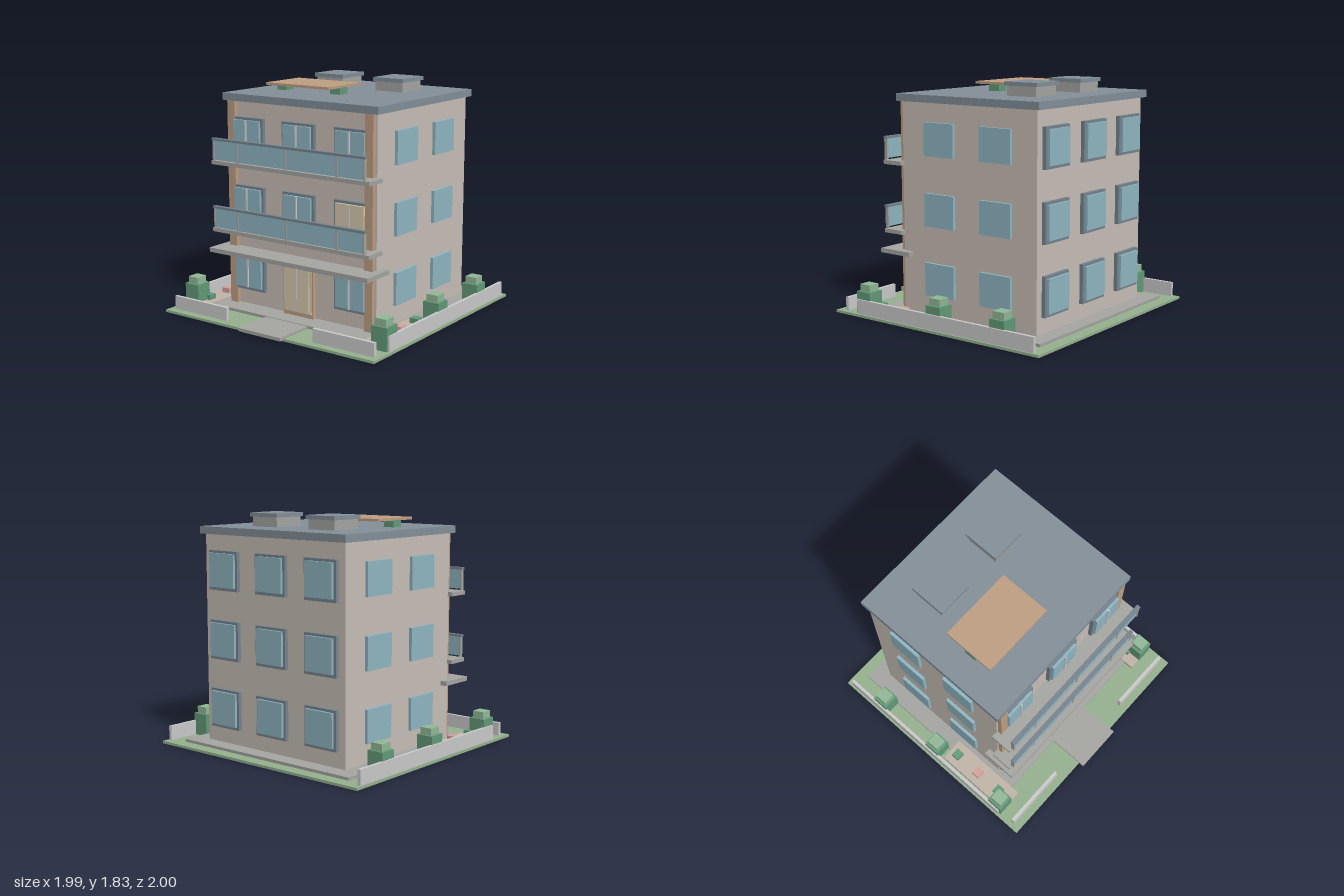
import * as THREE from 'three';

const material = (color) => new THREE.MeshStandardMaterial({ color });

export function createModel() {
  const building = new THREE.Group();
  building.name = 'apartmentBuilding';

  const mat = {
    wall: material(0xc9bfb8), roof: material(0x84909a), frame: material(0x77858f),
    glass: material(0x90b7c3), lit: material(0xd9cbb0), wood: material(0xbf9f83),
    concrete: material(0xa6a6a3), lawn: material(0x95b18f), lowWall: material(0xd8dad6),
    bed: material(0xc2b5a8), shrub: material(0x649b79), leaf: material(0x92b998),
    flower: material(0xd6a39c),
  };

  // Box given by its extents along x, y and z
  function block(name, m, [x0, x1], [y0, y1], [z0, z1], parent = building) {
    const mesh = new THREE.Mesh(new THREE.BoxGeometry(x1 - x0, y1 - y0, z1 - z0), m);
    mesh.position.set((x0 + x1) / 2, (y0 + y1) / 2, (z0 + z1) / 2);
    mesh.name = name;
    parent.add(mesh);
    return mesh;
  }
  const around = (c, size) => [c - size / 2, c + size / 2];
  const group = (name) => {
    const g = new THREE.Group();
    g.name = name;
    building.add(g);
    return g;
  };

  // Ground
  block('lawn', mat.lawn, [-0.995, 0.995], [0, 0.02], [-1, 0.955]);
  block('plinth', mat.concrete, [-0.84, 0.84], [0.015, 0.042], [-0.9, 0.67]);
  block('path', mat.concrete, [-0.2, 0.2], [0.012, 0.038], [0.66, 1]);

  // Main volume and roof
  block('walls', mat.wall, [-0.7, 0.7], [0.04, 1.67], [-0.77, 0.49]);
  block('roofSlab', mat.roof, [-0.73, 0.73], [1.668, 1.725], [-0.805, 0.528]);

  // Framed window on the front (dir 1) or back (dir -1)
  function framedWindow(x, y, dir, pane) {
    const g = group('window');
    const face = dir > 0 ? 0.49 : -0.77;
    const depth = (a, b) => [face + dir * a, face + dir * b].sort((p, q) => p - q);
    block('windowFrame', mat.frame, around(x, 0.3), around(y, 0.305), depth(-0.01, 0.03), g);
    block('windowPane', pane, around(x, 0.257), around(y + 0.003, 0.26), depth(0.02, 0.05), g);
    if (dir > 0) {
      block('mullion', mat.lowWall, around(x, 0.012), around(y + 0.003, 0.26), depth(0.03, 0.06), g);
    }
  }

  // Windows of the three floors
  [0.318, 0.855, 1.393].forEach((y, floor) => {
    for (const x of [-0.488, 0, 0.488]) {
      framedWindow(x, y, -1, mat.glass);
      if (floor === 0 && x === 0) continue;
      framedWindow(x, y, 1, floor === 1 && x > 0 ? mat.lit : mat.glass);
    }
    for (const side of [-1, 1]) {
      for (const z of [0.12, -0.408]) {
        block('sideWindow', mat.glass, around(side * 0.71, 0.03), around(y, 0.255), around(z, 0.282));
      }
    }
  });

  // Entrance door
  const door = group('door');
  block('doorFrame', mat.wood, [-0.143, 0.143], [0.04, 0.455], [0.48, 0.525], door);
  block('doorPanel', mat.lit, [-0.13, 0.13], [0.075, 0.44], [0.5, 0.535], door);
  block('doorPane', mat.lit, [-0.115, 0.115], [0.088, 0.425], [0.51, 0.545], door);
  block('doorMullion', mat.lowWall, [-0.005, 0.005], [0.088, 0.425], [0.52, 0.55], door);

  // Wooden pilasters
  for (const s of [-1, 1]) {
    block('pilaster', mat.wood, around(s * 0.65, 0.072), [0.04, 1.67], [0.48, 0.524]);
  }

  // Canopy over the ground floor and the two balconies
  block('canopy', mat.concrete, [-0.755, 0.755], [0.475, 0.51], [0.4, 0.69]);
  for (const y of [0.637, 1.175]) {
    const g = group('balcony');
    block('balconySlab', mat.concrete, [-0.745, 0.745], [y, y + 0.031], [0.48, 0.655], g);
    block('balconyGlass', mat.glass, [-0.71, 0.71], [y + 0.042, y + 0.196], [0.65, 0.668], g);
    block('handrail', mat.frame, [-0.72, 0.72], [y + 0.194, y + 0.212], [0.645, 0.678], g);
    for (const x of [-0.708, -0.47, 0, 0.47, 0.708]) {
      block('railPost', mat.concrete, around(x, 0.014), [y + 0.03, y + 0.2], [0.646, 0.674], g);
    }
  }

  // Roof terrace: wooden cover on two planters, and two vents
  block('roofCover', mat.wood, [-0.508, 0.098], [1.775, 1.795], [-0.155, 0.262]);
  for (const x of [-0.463, 0.058]) {
    block('roofPlanter', mat.shrub, around(x, 0.094), [1.72, 1.778], [0.025, 0.12]);
  }
  for (const x of [-0.288, 0.284]) {
    block('ventBase', mat.concrete, around(x, 0.252), [1.72, 1.802], [-0.55, -0.285]);
    block('ventCap', mat.roof, around(x, 0.282), [1.8, 1.83], [-0.567, -0.27]);
  }

  // Garden walls, beds and plants, mirrored left and right
  for (const s of [-1, 1]) {
    block('sideWall', mat.lowWall, around(s * 0.968, 0.025), [0.015, 0.135], [-0.945, 0.735]);
    block('frontWall', mat.lowWall, around(s * 0.683, 0.54), [0.015, 0.125], [0.863, 0.89]);
    block('gardenBed', mat.bed, around(s * 0.835, 0.19), [0.015, 0.055], [0.08, 0.75]);
    [0.155, 0.385, 0.615].forEach((z, i) => {
      block('bedPlant', i === 1 ? mat.flower : mat.shrub, around(s * 0.838, 0.072), [0.05, 0.095], around(z, 0.068));
    });
    for (const z of [-0.615, -0.02, 0.685]) {
      block('shrub', mat.shrub, around(s * 0.9, 0.135), [0.015, 0.197], around(z, 0.135));
      block('shrubTop', mat.leaf, around(s * 0.9, 0.096), [0.19, 0.252], around(z, 0.1));
    }
  }

  return building;
}
